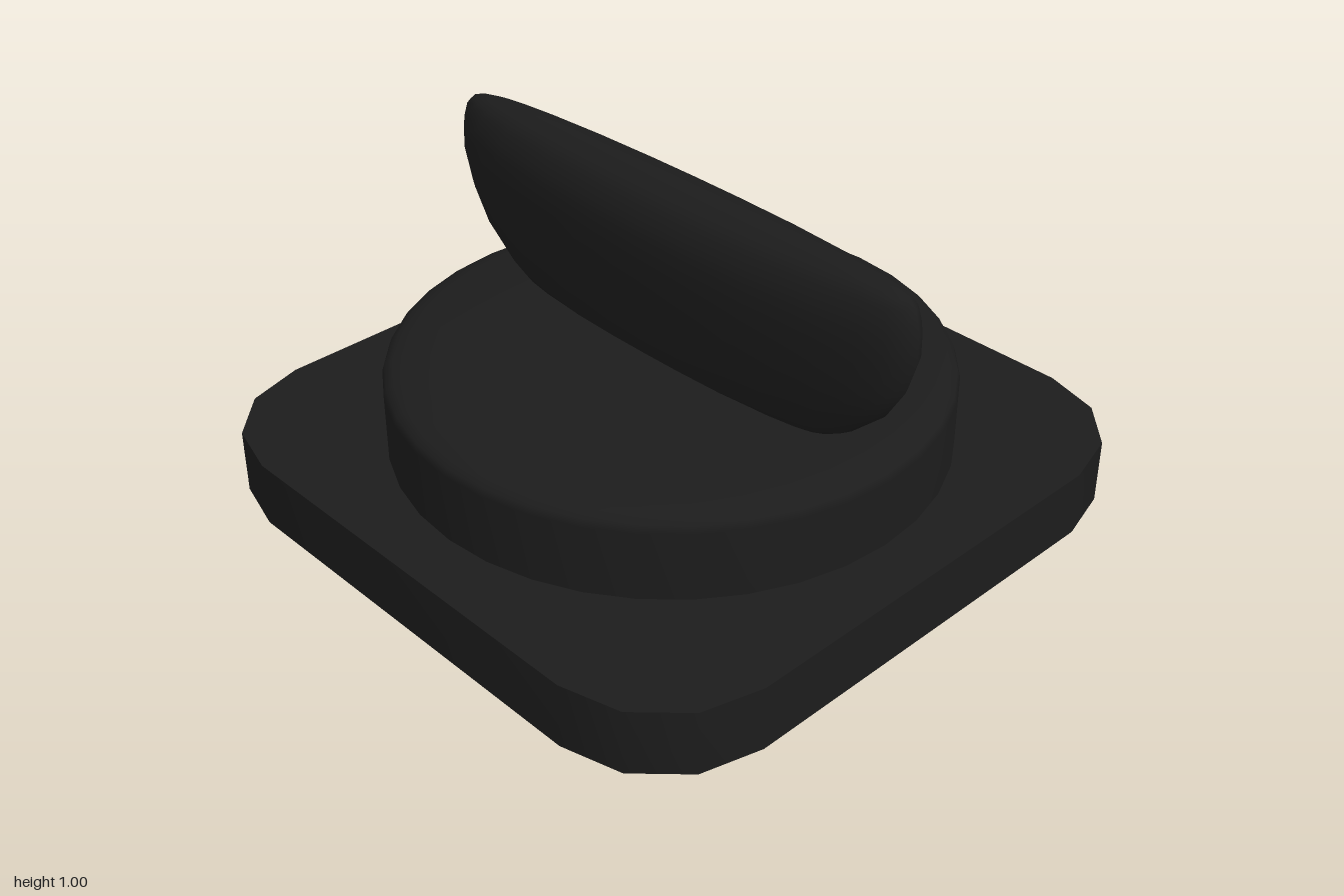
import * as THREE from 'three';
import { toCreasedNormals, mergeVertices } from 'three/addons/utils/BufferGeometryUtils.js';

const dark = new THREE.MeshStandardMaterial({ color: 0x1c1c1c });

function addPart(group, name, geometry) {
  const mesh = new THREE.Mesh(geometry, dark);
  mesh.name = name;
  group.add(mesh);
}

// Square plate with coarse rounded corners
function basePlate() {
  const corner = [[1, 0.64], [0.95, 0.82], [0.82, 0.95], [0.64, 1]];
  const outline = [];
  for (let q = 0; q < 4; q++) {
    for (const [x, y] of corner) {
      outline.push(new THREE.Vector2(x, y).rotateAround(new THREE.Vector2(), q * Math.PI / 2));
    }
  }
  const geo = new THREE.ExtrudeGeometry(new THREE.Shape(outline), { depth: 0.2, bevelEnabled: false });
  geo.rotateX(-Math.PI / 2);
  return toCreasedNormals(geo, 0.7);
}

// Round, slightly domed dial
function dial() {
  const profile = [
    [0.83, 0.19], [0.83, 0.41], [0.822, 0.432], [0.80, 0.447], [0.76, 0.458],
    [0.68, 0.467], [0.4, 0.476], [0, 0.48],
  ].map(([r, y]) => new THREE.Vector2(r, y));
  return new THREE.LatheGeometry(profile, 36);
}

// Grip lofted from lens-shaped layers: [height, half length, half width]
function grip() {
  const layers = [
    [0.44, 0.58, 0.095], [0.5, 0.69, 0.11], [0.6, 0.8, 0.13], [0.7, 0.86, 0.138],
    [0.8, 0.89, 0.145], [0.87, 0.89, 0.139], [0.91, 0.885, 0.13], [0.95, 0.875, 0.11],
    [0.972, 0.85, 0.09], [0.985, 0.79, 0.07], [0.995, 0.68, 0.045], [1.003, 0.45, 0.018],
  ];
  // Quarter of the lens outline, from the tip to the middle
  const quarter = [[1, 0], [0.98, 0.25], [0.93, 0.44], [0.85, 0.59], [0.7, 0.76], [0.45, 0.92], [0.2, 0.985]];
  const ring = [
    ...quarter, [0, 1],
    ...quarter.slice().reverse().map(([x, z]) => [-x, z]),
    ...quarter.slice(1).map(([x, z]) => [-x, -z]), [0, -1],
    ...quarter.slice(1).reverse().map(([x, z]) => [x, -z]),
  ];
  const n = ring.length;
  const pos = [], index = [];
  for (const [y, a, b] of layers) {
    for (const [x, z] of ring) pos.push(x * a, y, z * b);
  }
  for (let i = 0; i < layers.length - 1; i++) {
    for (let j = 0; j < n; j++) {
      const k = (j + 1) % n;
      const p = i * n + j, q = i * n + k;
      index.push(p, p + n, q, q, p + n, q + n);
    }
  }
  // Close both ends
  const last = (layers.length - 1) * n;
  const top = pos.length / 3;
  pos.push(0, 1.004, 0, 0, 0.44, 0);
  for (let j = 0; j < n; j++) {
    const k = (j + 1) % n;
    index.push(last + j, top, last + k, j, k, top + 1);
  }
  const geo = new THREE.BufferGeometry();
  geo.setAttribute('position', new THREE.Float32BufferAttribute(pos, 3));
  geo.setIndex(index);
  const smooth = mergeVertices(geo);
  smooth.computeVertexNormals();
  return smooth;
}

export function createModel() {
  const group = new THREE.Group();
  group.name = 'rotaryKnob';
  addPart(group, 'basePlate', basePlate());
  addPart(group, 'dial', dial());
  addPart(group, 'grip', grip());
  return group;
}
